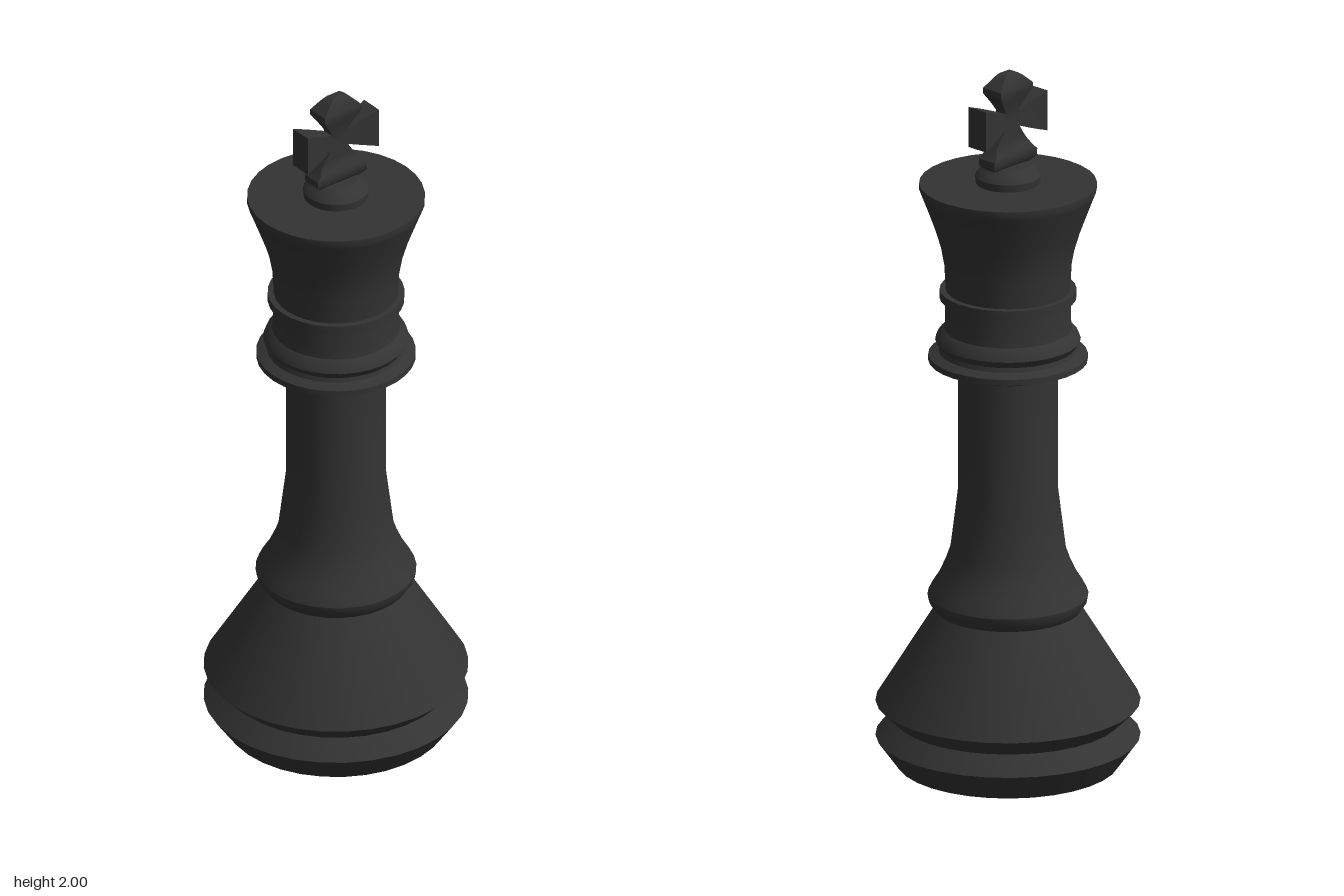
import * as THREE from 'three';
import { toCreasedNormals } from 'three/addons/utils/BufferGeometryUtils.js';

const material = new THREE.MeshStandardMaterial({ color: 0x333333 });

function part(name, geometry) {
  const mesh = new THREE.Mesh(toCreasedNormals(geometry, 0.6), material);
  mesh.name = name;
  return mesh;
}

// Turned part from [radius, height] pairs, bottom to top
function turned(name, profile) {
  const points = profile.map(([r, y]) => new THREE.Vector2(r, y));
  return part(name, new THREE.LatheGeometry(points, 32));
}

// Rectangular loft along +y from [distance, halfWidth, halfDepth] sections, capped at both ends
function loft(name, sections) {
  const pos = [];
  const index = [];
  sections.forEach(([d, w, t]) => pos.push(-w, d, t, w, d, t, w, d, -t, -w, d, -t));
  for (let s = 0; s < sections.length - 1; s++) {
    for (let k = 0; k < 4; k++) {
      const a = s * 4 + k, b = s * 4 + (k + 1) % 4;
      index.push(a, b, b + 4, a, b + 4, a + 4);
    }
  }
  const e = (sections.length - 1) * 4;
  index.push(0, 2, 1, 0, 3, 2, e, e + 1, e + 2, e, e + 2, e + 3);
  const geometry = new THREE.BufferGeometry();
  geometry.setAttribute('position', new THREE.Float32BufferAttribute(pos, 3));
  geometry.setIndex(index);
  return part(name, geometry);
}

export function createModel() {
  const model = new THREE.Group();
  model.name = 'chessKing';

  // Foot with a V groove, then the sloping skirt
  model.add(turned('base', [
    [0, 0], [0.305, 0], [0.362, 0.08], [0.312, 0.13], [0.362, 0.18], [0.2, 0.445], [0, 0.445],
  ]));

  // Bead and tapering column
  model.add(turned('stem', [
    [0.2, 0.445], [0.217, 0.47], [0.22, 0.488], [0.208, 0.512], [0.19, 0.54], [0.172, 0.58],
    [0.158, 0.62], [0.148, 0.7], [0.137, 0.79], [0.137, 1.16],
  ]));

  // Stepped collar under the head
  model.add(turned('collar', [
    [0.13, 1.155], [0.165, 1.145], [0.218, 1.165], [0.218, 1.182], [0.19, 1.193], [0.186, 1.205],
    [0.199, 1.225], [0.192, 1.242], [0.175, 1.258], [0.172, 1.28], [0.172, 1.345],
  ]));
  model.add(turned('collarRing', [
    [0.165, 1.345], [0.187, 1.345], [0.187, 1.37], [0.165, 1.37],
  ]));

  // Flared head with a flat top
  model.add(turned('head', [
    [0.17, 1.365], [0.174, 1.44], [0.183, 1.49], [0.198, 1.54], [0.218, 1.595],
    [0.238, 1.648], [0.243, 1.66], [0.243, 1.677], [0, 1.68],
  ]));
  model.add(turned('finialButton', [
    [0.088, 1.675], [0.09, 1.7], [0.078, 1.715], [0.058, 1.73], [0, 1.732],
  ]));

  // Cross: two flared side arms, a pointed top arm and a waisted foot
  const cross = new THREE.Group();
  cross.name = 'cross';
  cross.position.y = 1.862;
  for (const side of [-1, 1]) {
    const arm = loft(side > 0 ? 'leftArm' : 'rightArm', [
      [0, 0.02, 0.016], [0.03, 0.024, 0.017], [0.06, 0.036, 0.021], [0.09, 0.047, 0.026], [0.123, 0.058, 0.033],
    ]);
    arm.rotation.z = -side * Math.PI / 2;
    cross.add(arm);
  }
  cross.add(loft('topArm', [
    [0, 0.025, 0.016], [0.03, 0.029, 0.018], [0.055, 0.045, 0.024], [0.082, 0.064, 0.033],
    [0.098, 0.064, 0.033], [0.124, 0.036, 0.02], [0.134, 0.02, 0.014], [0.138, 0.006, 0.006],
  ]));
  cross.add(loft('footArm', [
    [-0.134, 0.07, 0.018], [-0.12, 0.085, 0.028], [-0.1, 0.085, 0.03], [-0.088, 0.073, 0.026],
    [-0.07, 0.062, 0.016], [-0.05, 0.046, 0.016], [-0.025, 0.03, 0.016], [0, 0.025, 0.016],
  ]));
  model.add(cross);

  return model;
}
